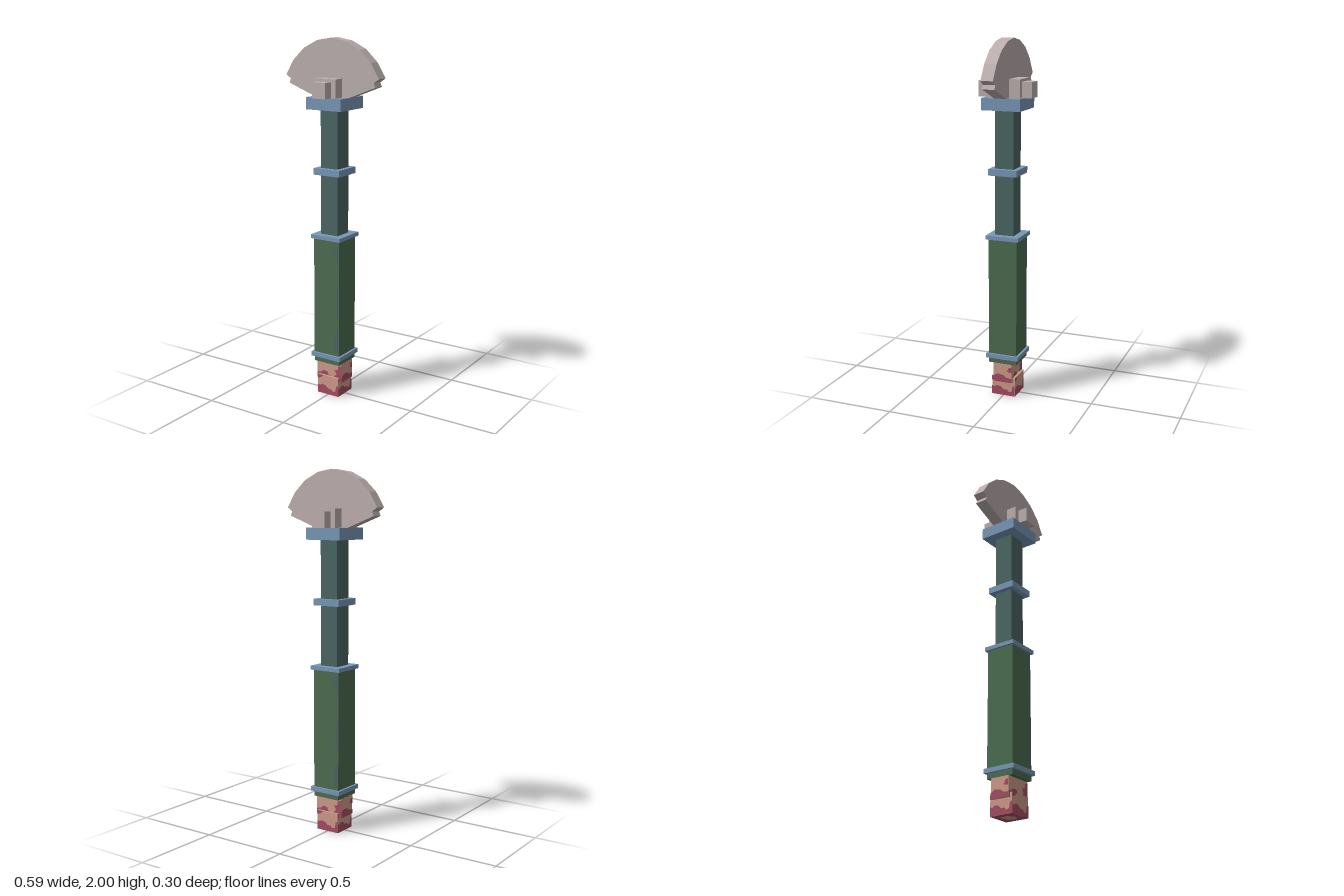
import * as THREE from 'three';

const mat = (name, color, side = THREE.FrontSide) => {
  const m = new THREE.MeshStandardMaterial({ color, side });
  m.name = name;
  return m;
};

export function createModel() {
  const model = new THREE.Group();
  model.name = 'polearm';
  const metal = mat('pale metal', 0xbdafaf);
  const blue = mat('steel blue', 0x7897b7);
  const slate = mat('slate shaft', 0x4b6663);
  const green = mat('green grip', 0x4c6c50);
  const salmon = mat('salmon', 0xcd9a89);
  const crimson = mat('crimson', 0xa34d62);

  const add = (name, geometry, material, parent = model) => {
    const mesh = new THREE.Mesh(geometry, material);
    mesh.name = name;
    parent.add(mesh);
    return mesh;
  };
  // Box given by half width, half depth, bottom and top
  const block = (name, hx, hz, y0, y1, material) => {
    const mesh = add(name, new THREE.BoxGeometry(hx * 2, y1 - y0, hz * 2), material);
    mesh.position.y = (y0 + y1) / 2;
    return mesh;
  };
  const outline = (points) => new THREE.Shape(points.map(([x, y]) => new THREE.Vector2(x, y)));

  // Painted patch on one upright face, turned about y
  const patch = (name, points, angle, distance, material) => {
    const geo = new THREE.ShapeGeometry(outline(points));
    geo.translate(0, 0, distance + 0.001);
    geo.rotateY(angle);
    add(name, geo, material);
  };

  // Pommel: two stacked blocks, the lower one with a crimson base
  block('pommelUpper', 0.083, 0.055, 0.085, 0.195, salmon);
  block('pommelLower', 0.069, 0.069, 0, 0.11, [salmon, salmon, salmon, crimson, salmon, salmon]);
  const basePatch = add('basePatch', new THREE.ShapeGeometry(outline(
    [[-0.03, -0.04], [0.03, -0.03], [0.045, 0.02], [0, 0.04], [-0.04, 0.015]])), salmon);
  basePatch.rotation.x = Math.PI / 2;
  basePatch.position.y = -0.0005;

  // Crimson blotches, in face coordinates
  const upperWide = [
    [[-0.083, 0.085], [0.012, 0.085], [0.012, 0.11], [-0.005, 0.115], [-0.012, 0.132], [-0.04, 0.136], [-0.055, 0.122], [-0.083, 0.115]],
    [[0.03, 0.085], [0.083, 0.085], [0.083, 0.185], [0.06, 0.18], [0.06, 0.158], [0.035, 0.15], [0.05, 0.13], [0.03, 0.11]],
  ];
  const upperNarrow = [
    [[-0.055, 0.085], [0.055, 0.085], [0.055, 0.11], [0.02, 0.115], [0.005, 0.128], [-0.03, 0.132], [-0.055, 0.118]],
    [[0.028, 0.15], [0.055, 0.145], [0.055, 0.18], [0.035, 0.172]],
  ];
  const lower = [
    [[-0.069, 0], [0.069, 0], [0.069, 0.065], [0.056, 0.06], [0.05, 0.028], [0.035, 0.022],
      [0.02, 0.035], [0, 0.035], [-0.015, 0.05], [-0.04, 0.055], [-0.055, 0.045], [-0.069, 0.05]],
    [[-0.069, 0.085], [-0.045, 0.095], [-0.03, 0.11], [-0.069, 0.11]],
  ];
  for (let i = 0; i < 4; i++) {
    const angle = i * Math.PI / 2;
    const upper = i % 2 ? upperNarrow : upperWide;
    upper.forEach((p) => patch('upperBlotch', p, angle, i % 2 ? 0.083 : 0.055, crimson));
    lower.forEach((p) => patch('lowerBlotch', p, angle, 0.069, crimson));
  }

  // Grip with worn marks along its corners
  block('grip', 0.082, 0.082, 0.195, 0.92, green);
  const worn = [
    [[0.05, 0.28], [0.08, 0.26], [0.08, 0.42], [0.062, 0.4], [0.06, 0.33]],
    [[0.06, 0.5], [0.08, 0.47], [0.08, 0.66], [0.068, 0.64]],
    [[0.035, 0.85], [0.06, 0.84], [0.08, 0.74], [0.08, 0.89], [0.04, 0.88]],
  ];
  for (const i of [0, 2]) worn.forEach((p) => patch('wornMark', p, i * Math.PI / 2, 0.082, slate));

  // Shaft and square collars
  block('shaft', 0.054, 0.054, 0.92, 1.63, slate);
  [[0.095, 0.225, 0.25], [0.095, 0.915, 0.937], [0.082, 1.27, 1.306], [0.11, 1.625, 1.69]]
    .forEach(([h, y0, y1]) => block('collar', h, h, y0, y1, blue));

  // Stepped hub through the blade
  block('hub', 0.069, 0.096, 1.69, 1.79, metal);
  block('hubPin', 0.041, 0.152, 1.69, 1.775, metal);

  // Fan blade, mirrored half profile
  const half = [[0.11, 1.69], [0.272, 1.752], [0.262, 1.775], [0.293, 1.797],
    [0.243, 1.878], [0.174, 1.943], [0.088, 1.985]];
  const profile = [...half, [0, 2], ...half.map(([x, y]) => [-x, y]).reverse()];
  const blade = new THREE.ExtrudeGeometry(outline(profile), { depth: 0.068, bevelEnabled: false });
  blade.translate(0, 0, -0.034);
  add('fanBlade', blade, metal);

  return model;
}
